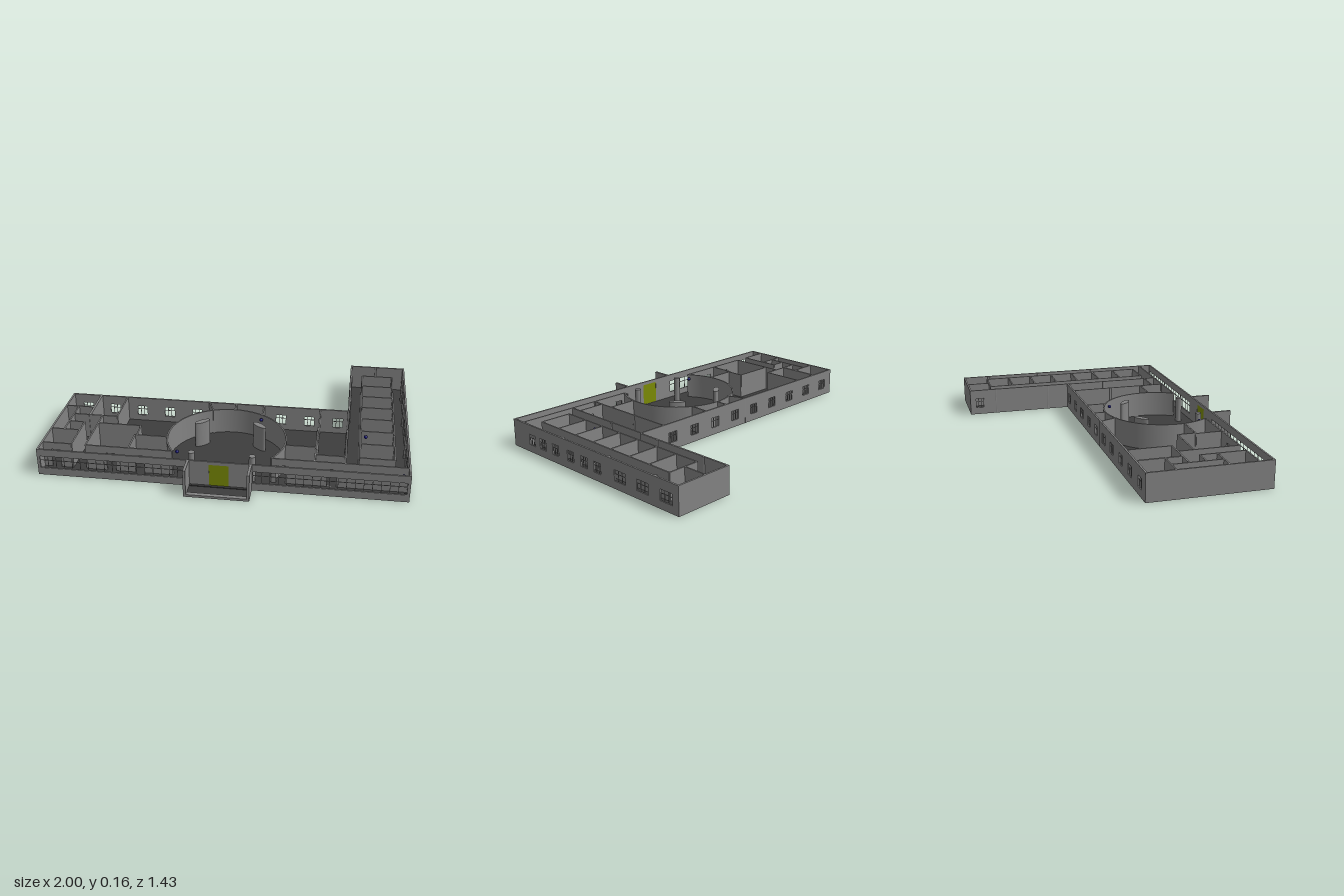
import * as THREE from 'three';
import { toCreasedNormals } from 'three/addons/utils/BufferGeometryUtils.js';

const H = 0.157, FLOOR = 0.008;
const grey = new THREE.MeshStandardMaterial({ color: 0x838383 });
const floorGrey = new THREE.MeshStandardMaterial({ color: 0x3d3d3d });
const olive = new THREE.MeshStandardMaterial({ color: 0x7a8a05 });
const blue = new THREE.MeshStandardMaterial({ color: 0x14146e });

export function createModel() {
  const model = new THREE.Group();

  function add(name, geometry, material = grey, parent = model) {
    const mesh = new THREE.Mesh(geometry, material);
    mesh.name = name;
    parent.add(mesh);
    return mesh;
  }

  function box(name, w, h, d, x, y, z, material = grey, parent = model) {
    const mesh = add(name, new THREE.BoxGeometry(w, h, d), material, parent);
    mesh.position.set(x, y, z);
    return mesh;
  }

  // Extrudes a plan shape upwards; shape y is -z
  function rise(name, shape, height, material = grey) {
    const g = new THREE.ExtrudeGeometry(shape, { depth: height, bevelEnabled: false, curveSegments: 64 });
    return add(name, toCreasedNormals(g.rotateX(-Math.PI / 2), 0.5), material);
  }

  // Upright wall between two plan points. Each opening is
  // { a, b, y0, y1, bars }, with a and b measured along the wall.
  function wall(name, x1, z1, x2, z2, t = 0.008, openings = []) {
    const len = Math.hypot(x2 - x1, z2 - z1);
    const group = new THREE.Group();
    group.name = name;
    group.position.set(x1, 0, z1);
    group.rotation.y = -Math.atan2(z2 - z1, x2 - x1);
    model.add(group);
    const s = new THREE.Shape();
    s.moveTo(0, 0).lineTo(len, 0).lineTo(len, H).lineTo(0, H).closePath();
    for (const o of openings) {
      const hole = new THREE.Path();
      hole.moveTo(o.a, o.y0).lineTo(o.a, o.y1).lineTo(o.b, o.y1).lineTo(o.b, o.y0).closePath();
      s.holes.push(hole);
      if (!o.bars) continue;
      const f = 0.003, mid = (o.y0 + o.y1) / 2;
      for (let i = 0; i <= o.bars; i++)
        box('windowBar', f, o.y1 - o.y0, f, o.a + (o.b - o.a) * i / o.bars, mid, 0, grey, group);
      for (const y of [o.y0, o.y0 + (o.y1 - o.y0) * 0.65, o.y1])
        box('windowRail', o.b - o.a, f, f, (o.a + o.b) / 2, y, 0, grey, group);
    }
    const g = new THREE.ExtrudeGeometry(s, { depth: t, bevelEnabled: false });
    add('wallPanel', g.translate(0, 0, -t / 2), grey, group);
  }

  const windowAt = (c, w = 0.054) => ({ a: c - w / 2, b: c + w / 2, y0: 0.043, y1: 0.103, bars: 3 });
  const doorAt = (c, w = 0.05) => ({ a: c - w / 2, b: c + w / 2, y0: FLOOR, y1: 0.115 });
  const band = (a, b) => ({ a, b, y0: 0.043, y1: 0.115, bars: 18 });

  // Floor slab inside the outer walls: hall, wing and porch in one outline
  const toPoints = (list) => list.map(([x, y]) => new THREE.Vector2(x, y));
  const plan = new THREE.Shape(toPoints([
    [-0.996, -0.601], [-0.17, -0.601], [-0.17, -0.711], [0.17, -0.711], [0.17, -0.601], [0.996, -0.601],
    [0.996, 0.711], [0.664, 0.711], [0.664, 0.076], [-0.996, 0.076],
  ]));
  // Slot at the end of the corridor
  plan.holes.push(new THREE.Path(toPoints([[0.978, -0.528], [0.99, -0.528], [0.99, -0.592], [0.978, -0.592]])));
  rise('floor', plan, FLOOR, floorGrey);

  // Outer walls
  const T = 0.01, e = T / 2, FRONT = 0.605;
  const backWindows = Array.from({ length: 10 }, (_, i) => windowAt(0.09 + 0.168 * i, 0.06));
  wall('backWall', -1, -0.08 + e, 0.66, -0.08 + e, T, backWindows);
  wall('rightWall', -1 + e, -0.08, -1 + e, FRONT, T);
  wall('frontWall', -1, FRONT - e, 1, FRONT - e, T, [
    band(0.015, 0.82), { a: 0.945, b: 1.05, y0: 0.01, y1: 0.138 }, band(1.18, 1.985),
  ]);
  const wingWindows = [0.435, 0.338, 0.225, 0.096, -0.016, -0.124]
    .map((z) => windowAt(z + 0.715))
    .concat([-0.298, -0.464, -0.63].map((z) => windowAt(z + 0.715, 0.083)));
  wall('leftWall', 1 - e, -0.715, 1 - e, FRONT, T, wingWindows);
  wall('wingBackWall', 0.66, -0.715 + e, 1, -0.715 + e, T);
  wall('wingInnerWall', 0.66 + e, -0.715, 0.66 + e, -0.08, T, [windowAt(0.06, 0.05)]);

  // Porch
  wall('porchRightWall', -0.168, 0.6, -0.168, 0.715, 0.014);
  wall('porchLeftWall', 0.168, 0.6, 0.168, 0.715, 0.014);
  box('porchSill', 0.33, 0.014, 0.025, 0, 0.007, 0.7025);
  box('porchStep', 0.322, 0.004, 0.014, 0, 0.01, 0.612, floorGrey);
  box('entranceDoor', 0.105, 0.128, 0.008, -0.0025, 0.074, 0.6, olive);

  // Corridor walls
  wall('corridorWall', -1, 0.52, -0.83, 0.52, 0.008, [doorAt(0.08)]);
  wall('corridorWall', -0.75, 0.52, -0.27, 0.52, 0.008, [doorAt(0.14), doorAt(0.3)]);
  wall('corridorWall', 0.27, 0.52, 0.99, 0.52, 0.008, [doorAt(0.05), doorAt(0.322)]);

  // Room partitions: x1, z1, x2, z2 and an optional door position
  const partitions = [
    [-0.663, -0.08, -0.663, 0.175], [-0.825, 0.175, -0.663, 0.175],
    [-1, 0.08, -0.825, 0.08], [-0.92, 0.08, -0.92, 0.36], [-0.92, 0.175, -0.83, 0.175],
    [-0.92, 0.265, -0.83, 0.265], [-1, 0.36, -0.83, 0.36], [-0.83, 0.265, -0.83, 0.52],
    [-0.75, 0.175, -0.75, 0.52], [-0.75, 0.265, -0.5, 0.265], [-0.5, 0.265, -0.5, 0.37],
    [-0.51, 0.37, -0.33, 0.37], [-0.51, 0.37, -0.51, 0.52],
    [-0.165, -0.08, -0.12, 0.03], [0, -0.08, 0, 0], [0.165, -0.08, 0.165, 0.04],
    [0.497, -0.08, 0.497, 0.52], [0.33, 0.37, 0.497, 0.37],
    [0.497, 0.45, 0.66, 0.45, 0.095], [0.66, -0.08, 0.66, 0.52],
    [0.82, -0.715, 0.82, -0.57], [0.735, -0.57, 0.735, 0.45], [0.92, -0.57, 0.92, 0.45],
  ];
  for (const [x1, z1, x2, z2, door] of partitions)
    wall('partition', x1, z1, x2, z2, 0.008, door ? [doorAt(door)] : []);
  wall('thickPartition', -0.825, -0.08, -0.825, 0.175, 0.013);
  for (const z of [-0.57, -0.425, -0.28, -0.135, 0.008, 0.155, 0.3, 0.45])
    wall('wingPartition', 0.735, z, 0.92, z);

  // Round hall wall, open towards the entrance
  const start = THREE.MathUtils.degToRad(-35.6), end = Math.PI - start;
  const ring = new THREE.Shape();
  ring.absarc(0, 0, 0.333, start, end, false);
  ring.absarc(0, 0, 0.325, end, start, true);
  rise('roundHallWall', ring, H).position.z = 0.327;

  // Columns of the hall, mirrored
  for (const side of [-1, 1]) {
    const round = add('roundColumn', new THREE.CylinderGeometry(0.018, 0.018, H, 32));
    round.position.set(side * 0.165, H / 2, 0.515);
    const oval = add('ovalColumn', new THREE.CylinderGeometry(1, 1, H, 40));
    oval.scale.set(0.049, 1, 0.018);
    oval.rotation.y = -side * Math.PI / 4.4;
    oval.position.set(side * 0.165, H / 2, 0.167);
  }

  // Slim posts along the walls
  const posts = [[0.667, -0.55], [0.667, -0.21], [0.66, 0.167], [0.988, -0.55], [0.988, -0.21],
    [0.988, 0.167], [0.497, 0.167], [0.497, 0.515]];
  for (const [x, z] of posts)
    add('post', new THREE.CylinderGeometry(0.008, 0.008, H, 16)).position.set(x, H / 2, z);

  // Small globes
  for (const [x, y, z] of [[0.163, 0.137, 0.068], [-0.248, 0.137, 0.49], [0.763, 0.137, 0.187], [0.964, 0.122, 0.55]])
    add('globe', new THREE.SphereGeometry(0.01, 20, 14), blue).position.set(x, y, z);

  return model;
}
